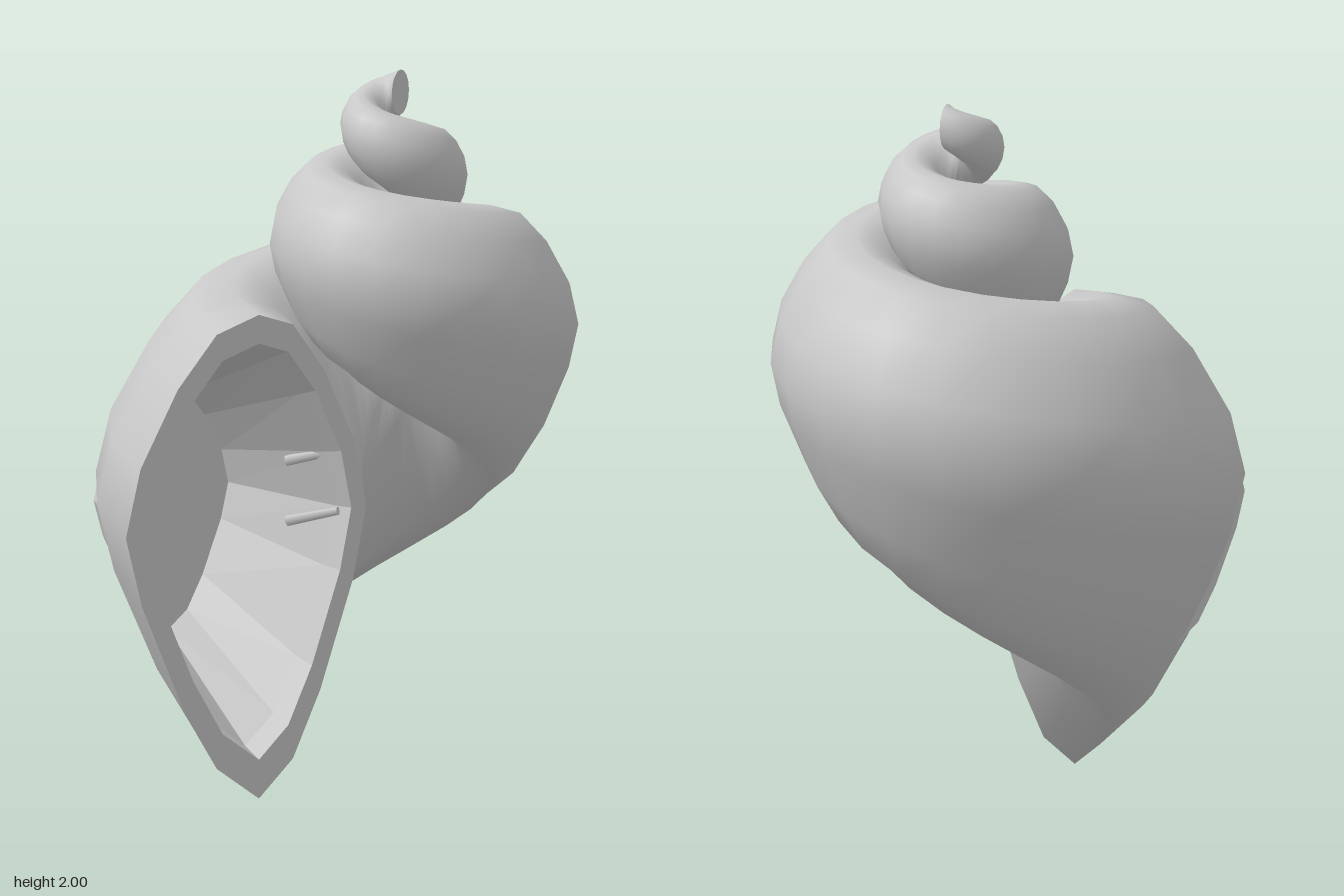
import * as THREE from 'three';

const AXIS_X = 0.19, AXIS_Z = 0.122;
const STEPS = 50, STEP_ANGLE = THREE.MathUtils.degToRad(17.6), SHRINK = 0.043;
const FLARE = [0.073, 0.033, 0.008];

// Half of the whorl's cross-section, from the pointed base to the rounded shoulder: [outward, up]
const half = [
  [0, -0.785], [0.13, -0.685], [0.235, -0.5], [0.36, -0.2], [0.41, 0],
  [0.365, 0.19], [0.25, 0.4], [0.13, 0.54], [0, 0.58],
];
const section = [...half, ...half.slice(1, -1).reverse().map(([u, v]) => [-u * 0.95, v])];

// One cross-section of the coiled tube: pointed at the mouth (step 0), rounding off towards the tip
function whorl(i) {
  const s = Math.exp(-SHRINK * i), a = i * STEP_ANGLE, round = i / STEPS;
  const lift = 0.077 * Math.max(0, (i - 31) / (STEPS - 31));
  const y = 2.0 - 1.213 * s + lift;
  return section.map(([u, v], j) => {
    const b = j / section.length * Math.PI * 2;
    const out = THREE.MathUtils.lerp(u, 0.41 * Math.sin(b), round);
    const up = THREE.MathUtils.lerp(v, -0.55 * Math.cos(b), round);
    const flare = u > 0 ? (FLARE[i] || 0) * u / 0.41 : 0;
    const r = (0.477 + out) * s + flare;
    return new THREE.Vector3(AXIS_X - r * Math.cos(a), y + up * s, AXIS_Z - r * Math.sin(a));
  });
}

// Skin through closed rings of equal point count
function loft(rings, smooth) {
  const n = rings[0].length, index = [];
  for (let i = 0; i < rings.length - 1; i++) {
    for (let j = 0; j < n; j++) {
      const k = (j + 1) % n;
      const a = i * n + j, b = i * n + k, c = a + n, d = b + n;
      index.push(a, b, c, b, d, c);
    }
  }
  let geo = new THREE.BufferGeometry().setFromPoints(rings.flat());
  geo.setIndex(index);
  if (!smooth) geo = geo.toNonIndexed();
  geo.computeVertexNormals();
  return geo;
}

export function createModel() {
  const group = new THREE.Group();
  const shellGrey = new THREE.MeshStandardMaterial({ color: 0xc8c8c8, side: THREE.DoubleSide });
  shellGrey.name = 'shellGrey';
  const add = (name, geo) => {
    const mesh = new THREE.Mesh(geo, shellGrey);
    mesh.name = name;
    group.add(mesh);
    return mesh;
  };

  // Coiled outer shell
  const rings = Array.from({ length: STEPS + 1 }, (_, i) => whorl(i));
  add('coiledShell', loft(rings, true));

  // Flat end at the tip of the spire
  const last = rings[STEPS];
  const tipCentre = last.reduce((sum, p) => sum.add(p), new THREE.Vector3()).divideScalar(last.length);
  add('spireTip', loft([last, last.map(() => tipCentre.clone())], false));

  // Mouth: back wall, tapering inner wall and flat lip
  const mouth = rings[0];
  const inset = (sx, sy, depth, cx = -0.285, cy = 0.785) => mouth.map(p => new THREE.Vector3(
    cx + (p.x + 0.285) * sx, cy + (p.y - 0.785) * sy, AXIS_Z - depth));
  const back = inset(0.56, 0.5, 0.415, -0.268, 0.815);
  const throat = inset(0.83, 0.82, 0.06), opening = inset(0.86, 0.86, 0);
  add('mouthBack', loft([inset(0, 0, 0.415, -0.268, 0.815), back], false));
  add('mouthWall', loft([back, throat, opening], false));
  add('mouthLip', loft([opening, mouth], false));

  // Three small ridges on the inner lip
  for (const [x, y] of [[0, 0.925], [0.002, 0.755], [-0.004, 0.58]]) {
    const from = new THREE.Vector3(x - 0.033, y - 0.02, -0.06);
    const to = new THREE.Vector3(x + 0.03, y + 0.02, 0.085);
    const dir = to.clone().sub(from);
    const tooth = add('lipTooth', new THREE.CylinderGeometry(0.012, 0.016, dir.length(), 6));
    tooth.position.copy(from).add(to).multiplyScalar(0.5);
    tooth.quaternion.setFromUnitVectors(new THREE.Vector3(0, 1, 0), dir.normalize());
  }
  return group;
}
